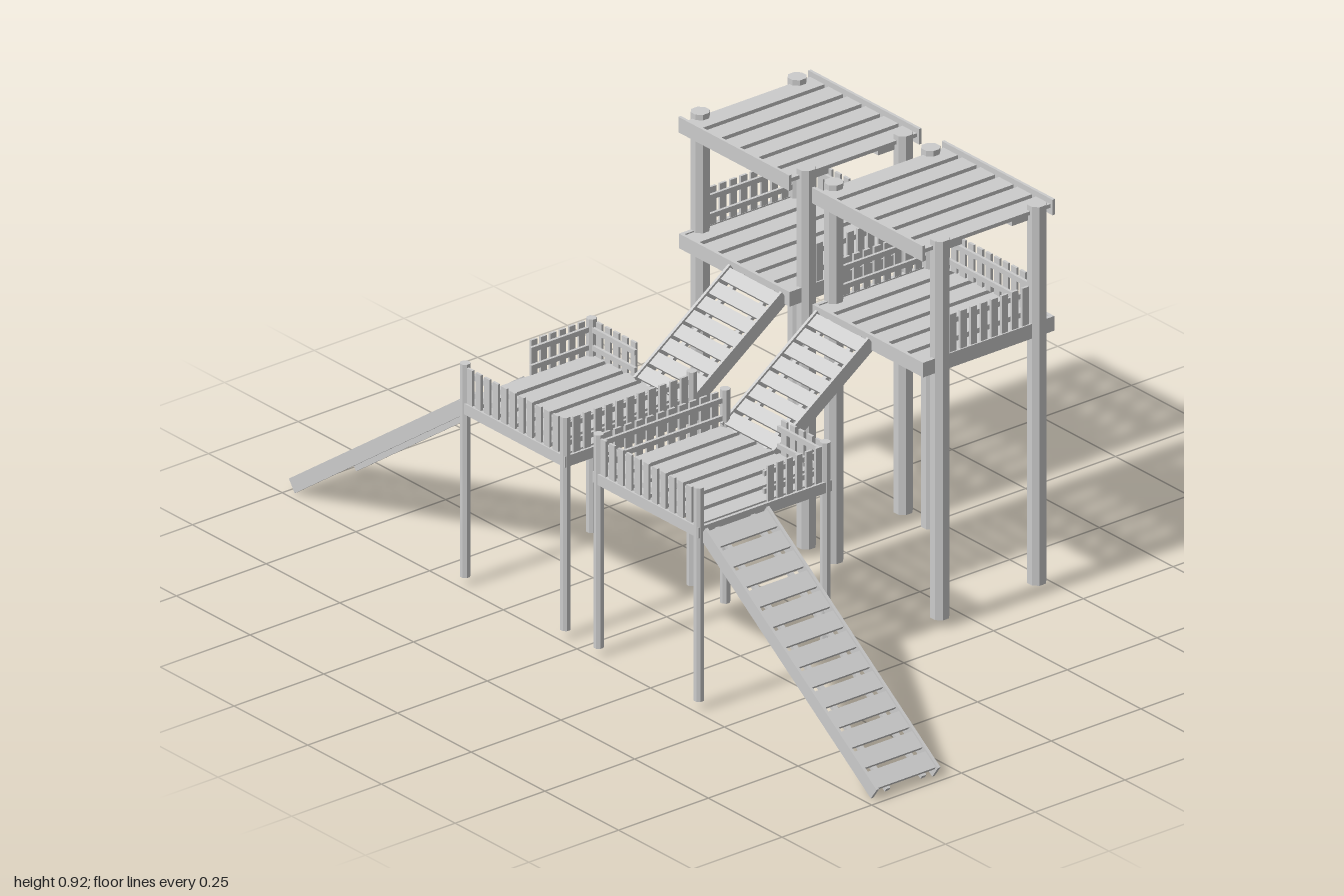
import * as THREE from 'three';

const mat = new THREE.MeshStandardMaterial({ color: 0xcccccc, flatShading: true });

// One half of the play structure; s = 1 for the left (+x) half, -1 for its mirror
function buildHalf(s) {
  const half = new THREE.Group();
  const C = 0.225; // centre line of both platforms

  const group = (name, parent = half) => {
    const g = new THREE.Group();
    g.name = name;
    parent.add(g);
    return g;
  };
  const box = (parent, name, w, h, d, x, y, z) => {
    const m = new THREE.Mesh(new THREE.BoxGeometry(w, h, d), mat);
    m.name = name;
    m.position.set(s * x, y, z);
    parent.add(m);
    return m;
  };
  const post = (parent, r, top, x, z) => {
    const g = new THREE.CylinderGeometry(r / Math.cos(Math.PI / 8), r / Math.cos(Math.PI / 8), top - 0.02, 8);
    g.rotateY(Math.PI / 8);
    const m = new THREE.Mesh(g, mat);
    m.name = 'post';
    m.position.set(s * x, (top + 0.02) / 2, z);
    parent.add(m);
  };
  // Planks running front to back, on two cross bearers
  const planks = (parent, name, width, z0, z1, top) => {
    const n = 6, gap = 0.014, w = (width - gap * (n - 1)) / n;
    for (let i = 0; i < n; i++) {
      box(parent, name, w, 0.009, z1 - z0, C - width / 2 + w / 2 + i * (w + gap), top - 0.0045, (z0 + z1) / 2);
    }
    for (const t of [0.24, 0.76]) {
      box(parent, 'bearer', width, 0.011, 0.045, C, top - 0.0145, z0 + (z1 - z0) * t);
    }
  };
  // Picket fence along x or z; out is the direction the pickets face
  const fence = (parent, axis, a, b, at, y0, y1, out) => {
    const g = group('railing', parent);
    const part = (name, len, h, t, along, y, off) => axis === 'x'
      ? box(g, name, len, h, t, along, y, at + off)
      : box(g, name, t, h, len, at + off, y, along);
    const n = Math.round((b - a) / 0.029), pitch = (b - a) / n;
    for (let i = 0; i < n; i++) {
      part('picket', pitch * 0.62, y1 - y0, 0.006, a + (i + 0.5) * pitch, (y0 + y1) / 2, out * 0.003);
    }
    for (const t of [0.27, 0.77]) {
      part('rail', b - a, 0.012, 0.007, (a + b) / 2, y0 + (y1 - y0) * t, -out * 0.0035);
    }
  };
  // Beams around a platform
  const frame = (parent, w, z0, z1, y0, y1) => {
    for (const e of [-1, 1]) {
      box(parent, 'sideBeam', 0.01, y1 - y0, z1 - z0, C + e * (w / 2 - 0.005), (y0 + y1) / 2, (z0 + z1) / 2);
    }
    for (const z of [z0 + 0.004, z1 - 0.004]) {
      box(parent, 'endBeam', w, y1 - y0, 0.008, C, (y0 + y1) / 2, z);
    }
  };

  // Tall tower
  const tower = group('tower');
  for (const x of [C - 0.18, C + 0.18]) {
    for (const z of [-0.18, -0.45]) post(tower, 0.02, 0.925, x, z);
  }
  frame(tower, 0.375, -0.493, -0.127, 0.61, 0.645);
  planks(tower, 'deckPlank', 0.36, -0.488, -0.132, 0.642);
  fence(tower, 'z', -0.43, -0.2, C + 0.178, 0.645, 0.735, 1);
  fence(tower, 'z', -0.43, -0.2, C - 0.178, 0.645, 0.735, -1);
  fence(tower, 'x', C - 0.16, C + 0.16, -0.462, 0.645, 0.735, -1);

  // Roof of planks between two fascia boards
  const roof = group('roof', tower);
  planks(roof, 'roofPlank', 0.362, -0.487, -0.133, 0.912);
  for (const z of [-0.129, -0.491]) box(roof, 'fascia', 0.376, 0.037, 0.007, C, 0.906, z);

  // Low platform
  const low = group('lowPlatform');
  for (const x of [C - 0.17, C + 0.17]) {
    for (const z of [0.131, 0.483]) post(low, 0.011, 0.53, x, z);
  }
  frame(low, 0.36, 0.12, 0.492, 0.412, 0.438);
  planks(low, 'deckPlank', 0.345, 0.128, 0.484, 0.442);
  fence(low, 'x', C - 0.16, C + 0.16, 0.485, 0.44, 0.525, 1);
  fence(low, 'x', 0.24, C + 0.16, 0.131, 0.44, 0.525, -1);
  fence(low, 'z', 0.142, 0.472, C - 0.172, 0.44, 0.525, -1);
  fence(low, 'z', 0.142, 0.302, C + 0.172, 0.44, 0.525, 1);

  // Ladder-like ramp built flat along local x (side boards, slats on top)
  const ramp = (name, len, width, depth, n, fill) => {
    const g = group(name);
    const add = (part, w, h, d, x, y, z) => {
      const m = new THREE.Mesh(new THREE.BoxGeometry(w, h, d), mat);
      m.name = part;
      m.position.set(x, y, z);
      g.add(m);
    };
    for (const e of [-1, 1]) add('sideBoard', len, depth, 0.007, 0, 0, e * (width / 2 - 0.0035));
    const pitch = len / n;
    for (let i = 0; i < n; i++) {
      add('slat', pitch * fill, 0.008, width - 0.014, -len / 2 + (i + 0.5) * pitch, depth / 2 - 0.009, 0);
    }
    for (const e of [-1, 1]) add('stringer', len, 0.01, 0.012, 0, depth / 2 - 0.018, e * width * 0.28);
    return g;
  };

  // Bridge ramp between the low platform and the tower
  const bridge = ramp('bridgeRamp', 0.325, 0.182, 0.033, 8, 0.8);
  bridge.rotation.set(0, Math.PI / 2, Math.atan2(0.177, 0.25), 'YXZ');
  bridge.position.set(s * 0.146, 0.533, 0.003);

  // Long ramp down to the ground on the outer side
  const slope = Math.atan2(0.4, 0.57);
  const long = ramp('groundRamp', 0.71, 0.178, 0.034, 13, 0.8);
  if (s < 0) long.rotation.set(0, Math.PI, -slope, 'YXZ');
  else long.rotation.z = -slope;
  long.position.set(s * 0.695, 0.218, 0.392);
  return half;
}

export function createModel() {
  const model = new THREE.Group();
  model.name = 'playStructure';
  for (const s of [1, -1]) {
    const half = buildHalf(s);
    half.name = s > 0 ? 'leftHalf' : 'rightHalf';
    half.position.x = s > 0 ? -0.002 : -0.005;
    model.add(half);
  }
  return model;
}
